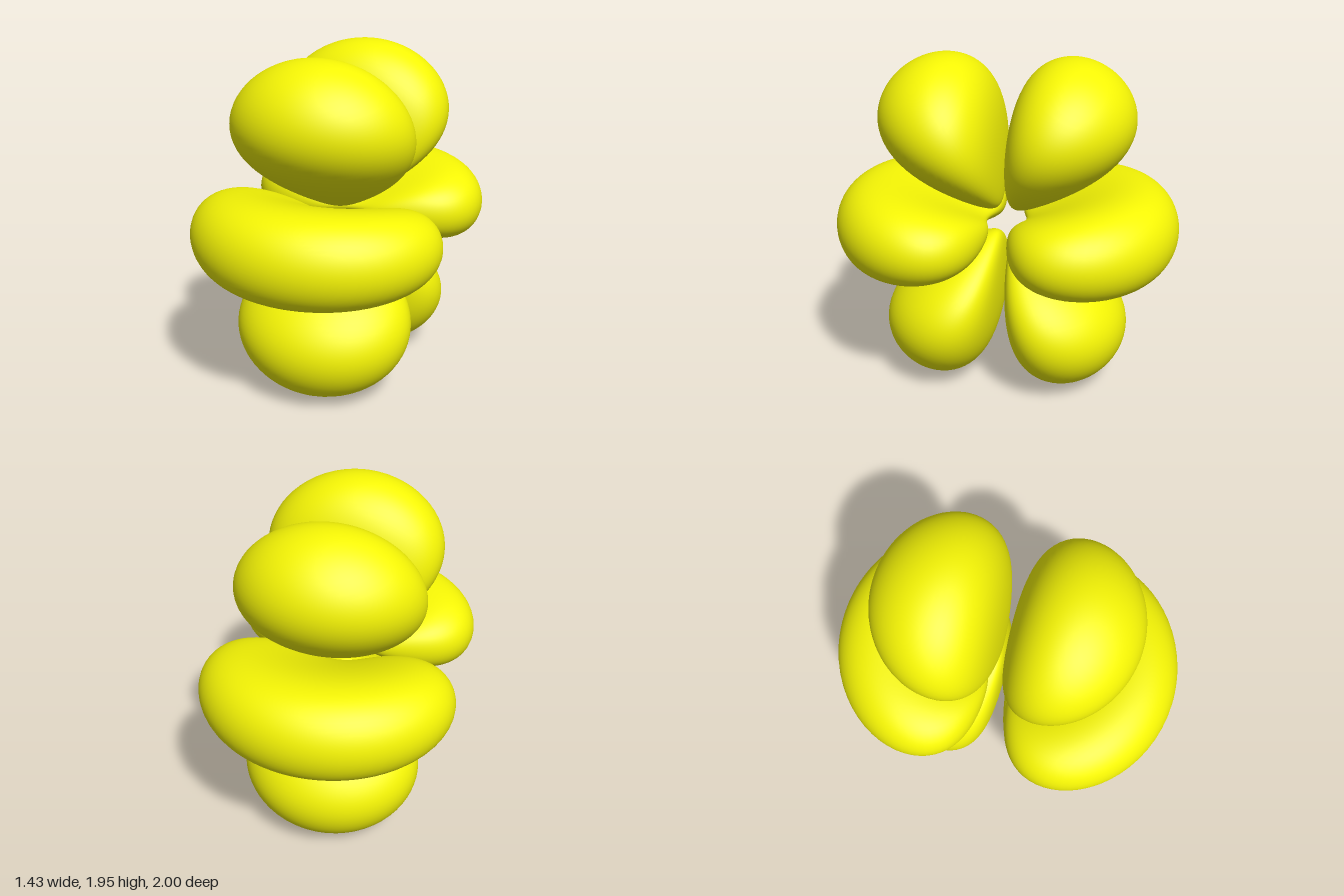
import * as THREE from 'three';

// Six lobes of a level surface of  z(5y² - r²)·exp(-K r), measured from the centre.
const K = 7.33;                 // radial falloff
const LEVEL = Math.exp(-K);     // puts the front tip at r = 1
const PEAK = 3 / K;             // radius where the field is strongest
const CENTRE_Y = 0.975;

const radial = (r) => r ** 3 * Math.exp(-K * r);
const angular = (d) => Math.abs(d.z * (5 * d.y * d.y - 1));
const MIN_ANGULAR = LEVEL / radial(PEAK);

function field(p) {
  const r = p.length();
  return Math.abs(p.z * (5 * p.y * p.y - r * r)) * Math.exp(-K * r);
}

// Boundary between a point where test is true and one where it is false
function bisect(inside, outside, test) {
  for (let i = 0; i < 45; i++) {
    const mid = (inside + outside) / 2;
    if (test(mid)) inside = mid; else outside = mid;
  }
  return (inside + outside) / 2;
}

// Closed lobe around a direction: rows run from the outer tip over the rim to the inner tip
function lobeGeometry(axis, squash, rows = 56, cols = 112) {
  const e1 = new THREE.Vector3(1, 0, 0);
  const e2 = new THREE.Vector3().crossVectors(axis, e1);
  const positions = [], normals = [], index = [];

  // Widest angle of the lobe in each direction around its axis
  const spokes = [];
  for (let j = 0; j < cols; j++) {
    const t = (j / cols) * Math.PI * 2;
    const side = e1.clone().multiplyScalar(Math.cos(t))
      .addScaledVector(e2, Math.sin(t) * squash).normalize();
    const at = (a) => axis.clone().multiplyScalar(Math.cos(a)).addScaledVector(side, Math.sin(a));
    const within = (a) => angular(at(a)) > MIN_ANGULAR;
    let limit = 0.02;
    while (within(limit)) limit += 0.02;
    spokes.push({ at, max: bisect(limit - 0.02, limit, within) });
  }

  const h = 1e-4, q = new THREE.Vector3();
  const slope = (p, k) => {
    const low = field(q.copy(p).setComponent(k, p.getComponent(k) - h));
    return low - field(q.copy(p).setComponent(k, p.getComponent(k) + h));
  };
  for (let i = 0; i <= rows; i++) {
    const u = (i / rows) * Math.PI;
    for (const { at, max } of spokes) {
      const dir = at(max * Math.sin(u));
      const strength = angular(dir);
      const r = bisect(PEAK, i <= rows / 2 ? 1.6 : 0.001, (s) => radial(s) * strength > LEVEL);
      const p = dir.multiplyScalar(r);
      const n = new THREE.Vector3(slope(p, 0), slope(p, 1), slope(p, 2)).normalize();
      positions.push(p.x, p.y, p.z);
      normals.push(n.x, n.y, n.z);
    }
  }
  for (let i = 0; i < rows; i++) {
    for (let j = 0; j < cols; j++) {
      const a = i * cols + j, b = i * cols + (j + 1) % cols;
      index.push(a, a + cols, b, b, a + cols, b + cols);
    }
  }

  const g = new THREE.BufferGeometry();
  g.setAttribute('position', new THREE.Float32BufferAttribute(positions, 3));
  g.setAttribute('normal', new THREE.Float32BufferAttribute(normals, 3));
  g.setIndex(index);
  return g;
}

export function createModel() {
  const group = new THREE.Group();
  group.name = 'sixLobedOrbital';
  const material = new THREE.MeshStandardMaterial({ color: 0xf5f505 });

  const addLobe = (name, axis, squash) => {
    const mesh = new THREE.Mesh(lobeGeometry(axis, squash), material);
    mesh.name = name;
    mesh.position.y = CENTRE_Y;
    group.add(mesh);
  };

  const sin = Math.sqrt(11 / 15), cos = Math.sqrt(4 / 15); // strongest slanted direction
  for (const [face, z] of [['front', 1], ['back', -1]]) {
    // Bean-shaped lobe wrapping the middle
    addLobe(face + 'MiddleLobe', new THREE.Vector3(0, 0, z), 0.35);
    // Slanted lobes above and below
    for (const [level, y] of [['Upper', 1], ['Lower', -1]]) {
      addLobe(face + level + 'Lobe', new THREE.Vector3(0, y * sin, z * cos), 0.8);
    }
  }
  return group;
}
